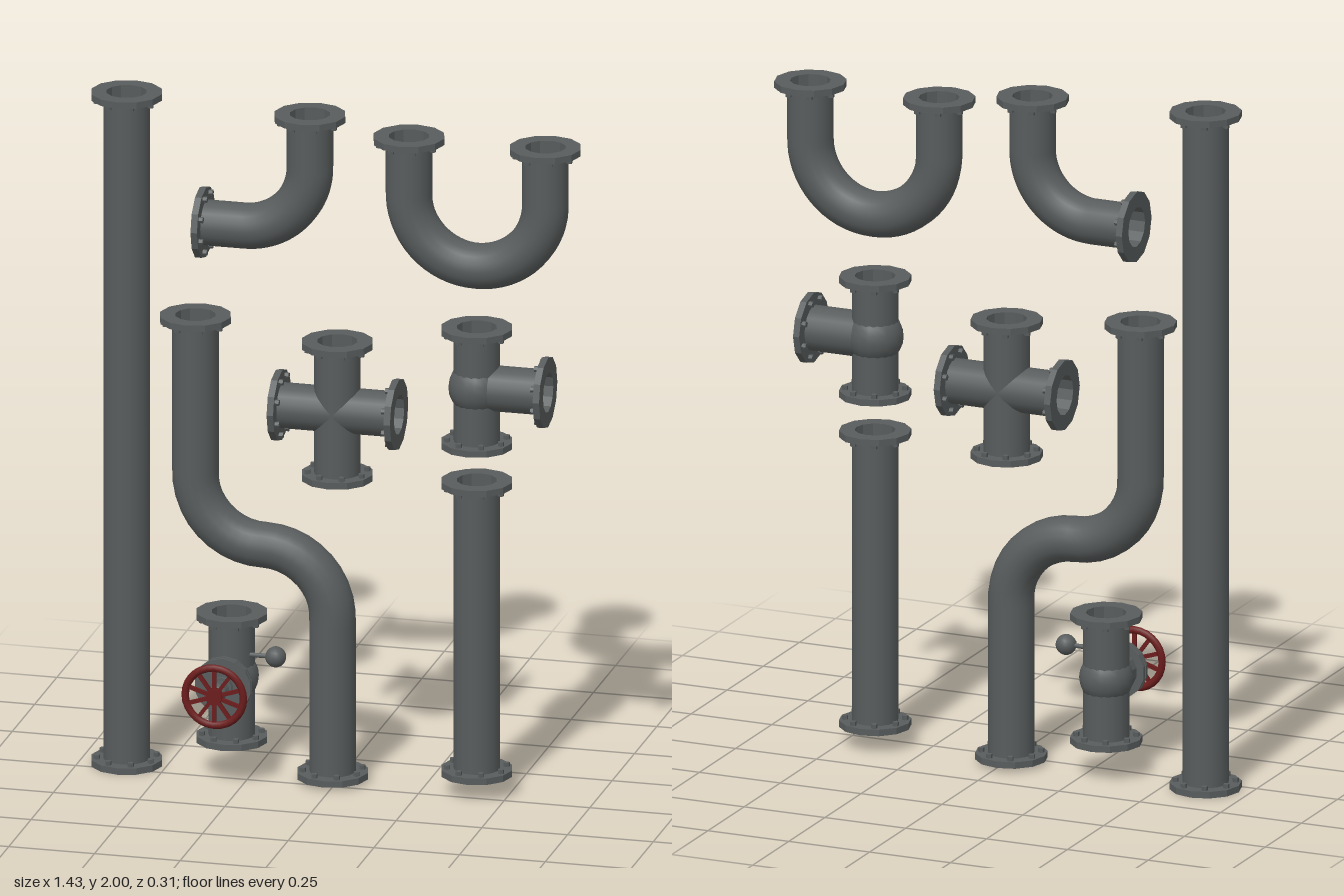
import * as THREE from 'three';

const R = 0.066, FLANGE = 0.103, BORE = 0.058, Z = -0.052;
const iron = new THREE.MeshStandardMaterial({ name: 'iron grey', color: 0x585c5c, side: THREE.DoubleSide });
const dark = new THREE.MeshStandardMaterial({ name: 'bore black', color: 0x0c0c0c });
const red = new THREE.MeshStandardMaterial({ name: 'wheel red', color: 0x6b1c1c });

const V = (x, y, z = Z) => new THREE.Vector3(x, y, z);
const UP = V(0, 1, 0), DOWN = V(0, -1, 0), LEFT = V(1, 0, 0), RIGHT = V(-1, 0, 0), FRONT = V(0, 0, 1);

function add(parent, name, geometry, material) {
  const mesh = new THREE.Mesh(geometry, material);
  mesh.name = name;
  parent.add(mesh);
  return mesh;
}

function flat(geometry) {
  const g = geometry.index ? geometry.toNonIndexed() : geometry;
  g.computeVertexNormals();
  return g;
}

// Flange ring with bore and bolts; local y points out of the pipe, origin on the outer face
const ringGeo = flat(new THREE.LatheGeometry([
  [R - 0.002, -0.019], [FLANGE, -0.019], [FLANGE, 0], [BORE, 0], [BORE, -0.08],
].map(p => new THREE.Vector2(...p)), 12));
const plugGeo = new THREE.CircleGeometry(BORE, 12).rotateX(-Math.PI / 2).translate(0, -0.078, 0);
const boltGeo = flat(new THREE.CylinderGeometry(0.009, 0.009, 0.012, 6));

function flange(parent, pos, dir) {
  const g = new THREE.Group();
  g.name = 'flange';
  add(g, 'flangeRing', ringGeo, iron);
  add(g, 'boreShadow', plugGeo, dark);
  for (let i = 0; i < 8; i++) {
    const a = (i + 0.5) * Math.PI / 4;
    add(g, 'bolt', boltGeo, iron).position.set(0.085 * Math.cos(a), -0.025, 0.085 * Math.sin(a));
  }
  g.position.copy(pos);
  g.quaternion.setFromUnitVectors(UP, dir);
  parent.add(g);
}

// Pipe through corner points; every inner corner becomes a round bend
function pipe(parent, name, pts, bend = 0.198, ends = [true, true]) {
  const g = new THREE.Group();
  g.name = name;
  const path = new THREE.CurvePath();
  let from = pts[0];
  for (let i = 1; i < pts.length - 1; i++) {
    const c = pts[i];
    const toPrev = pts[i - 1].clone().sub(c).normalize();
    const toNext = pts[i + 1].clone().sub(c).normalize();
    const at = (d, k) => c.clone().addScaledVector(d, bend * k);
    const a = at(toPrev, 1), b = at(toNext, 1);
    if (from.distanceTo(a) > 0.005) path.add(new THREE.LineCurve3(from, a));
    path.add(new THREE.CubicBezierCurve3(a, at(toPrev, 0.4477), at(toNext, 0.4477), b));
    from = b;
  }
  const last = pts[pts.length - 1];
  path.add(new THREE.LineCurve3(from, last));
  // stop the wall just inside the outer flange faces
  const segments = pts.length > 2 ? 48 : 1;
  add(g, 'pipeWall', new THREE.TubeGeometry(path, segments, R, 18), iron);
  if (ends[0]) flange(g, pts[0], pts[0].clone().sub(pts[1]).normalize());
  if (ends[1]) flange(g, last, last.clone().sub(pts[pts.length - 2]).normalize());
  parent.add(g);
  return g;
}

// Open-ended branch from a fitting's centre to a flanged end
function fitting(parent, name, centre, arms) {
  const g = new THREE.Group();
  g.name = name;
  for (const [dir, length] of arms) {
    const end = centre.clone().addScaledVector(dir, length);
    const wall = add(g, 'branch', new THREE.CylinderGeometry(R, R, length, 18, 1, true), iron);
    wall.position.copy(centre).addScaledVector(dir, length / 2);
    wall.quaternion.setFromUnitVectors(UP, dir);
    flange(g, end, dir);
  }
  parent.add(g);
  return g;
}

function valve(parent) {
  const c = V(-0.308, 0.288);
  const g = fitting(parent, 'valve', c, [[UP, 0.192], [DOWN, 0.192]]);
  add(g, 'valveBody', new THREE.SphereGeometry(0.077, 18, 12), iron).position.copy(c);

  // Bonnet and stem: [name, radius, z start, z end]
  const stages = [
    ['bonnetNeck', 0.06, -0.04, 0.033], ['bonnetFlange', 0.083, 0.026, 0.036],
    ['bonnetCover', 0.083, 0.041, 0.052], ['bonnetCore', 0.05, 0.03, 0.045],
    ['glandBase', 0.03, 0.05, 0.064], ['stem', 0.012, 0.05, 0.15],
    ['glandNut', 0.022, 0.07, 0.08], ['stemCollar', 0.016, 0.118, 0.13],
  ];
  for (const [name, r, z0, z1] of stages) {
    const geo = flat(new THREE.CylinderGeometry(r, r, z1 - z0, 14).rotateX(Math.PI / 2));
    add(g, name, geo, iron).position.set(c.x, c.y, (z0 + z1) / 2);
  }
  add(g, 'stemKnuckle', new THREE.SphereGeometry(0.025, 14, 10), iron).position.set(c.x, c.y, 0.098);

  // Handwheel with ten spokes
  const wheel = new THREE.Group();
  wheel.name = 'handwheel';
  wheel.position.set(c.x, c.y, 0.144);
  add(wheel, 'wheelRim', new THREE.TorusGeometry(0.085, 0.011, 8, 28), red);
  add(wheel, 'wheelHub', new THREE.CylinderGeometry(0.024, 0.024, 0.022, 14).rotateX(Math.PI / 2), red);
  const spokeGeo = new THREE.BoxGeometry(0.066, 0.011, 0.009).translate(0.051, 0, 0);
  for (let i = 0; i < 10; i++) add(wheel, 'wheelSpoke', spokeGeo, red).rotation.z = (i + 0.5) * Math.PI / 5;
  g.add(wheel);

  // Side lever with ball knob
  const lever = add(g, 'lever', new THREE.CylinderGeometry(0.007, 0.007, 0.1, 8).rotateZ(Math.PI / 2), iron);
  lever.position.set(-0.234, 0.362, -0.03);
  add(g, 'leverKnob', new THREE.SphereGeometry(0.03, 14, 10), iron).position.set(-0.174, 0.362, -0.03);
}

export function createModel() {
  const model = new THREE.Group();
  model.name = 'pipeSet';

  // Straight pipes
  pipe(model, 'longPipe', [V(-0.615, 0), V(-0.615, 2)]);
  pipe(model, 'shortPipe', [V(0.407, 0.055), V(0.407, 0.93)]);

  // Bent pipes
  pipe(model, 'elbowPipe', [V(-0.402, 1.63), V(-0.08, 1.63), V(-0.08, 1.978)], 0.19);
  pipe(model, 'uBendPipe', [V(0.209, 1.937), V(0.209, 1.567), V(0.607, 1.567), V(0.607, 1.937)]);
  pipe(model, 'offsetPipe', [V(-0.414, 1.353), V(-0.414, 0.685), V(-0.014, 0.685), V(-0.014, 0.012)]);

  // Cross and tee fittings
  fitting(model, 'crossFitting', V(0, 1.105), [[UP, 0.205], [DOWN, 0.205], [LEFT, 0.18], [RIGHT, 0.18]]);
  const teeCentre = V(0.407, 1.207);
  const tee = fitting(model, 'teeFitting', teeCentre, [[UP, 0.178], [DOWN, 0.178], [LEFT, 0.208]]);
  add(tee, 'teeBody', new THREE.SphereGeometry(0.081, 18, 12), iron).position.copy(teeCentre);

  valve(model);
  return model;
}
